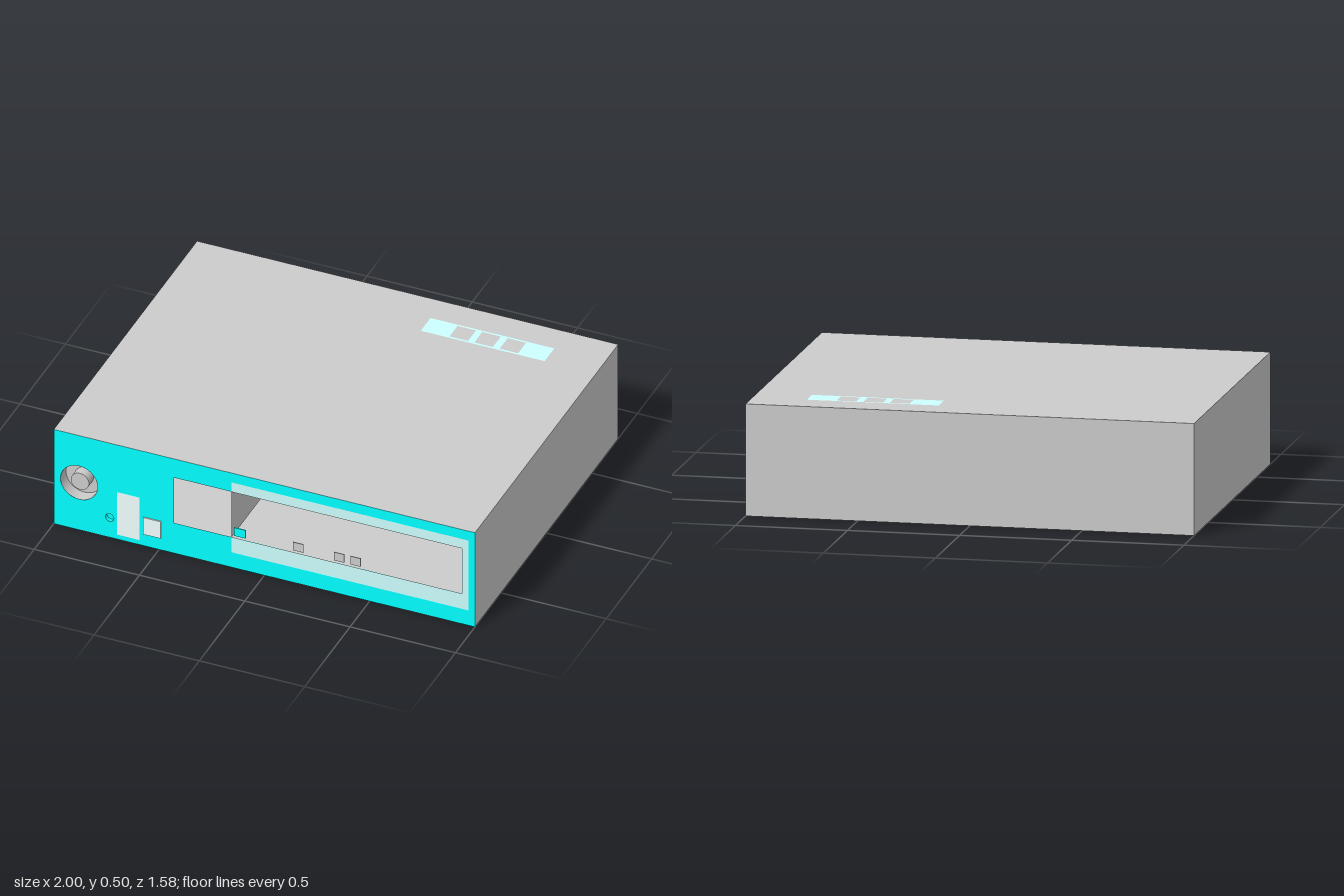
import * as THREE from 'three';

const FRONT = 0.785, BACK = -0.79, TOP = 0.499;
const GREY = 0xcccccc, CYAN = 0x00ffff, PALE = 0xcdffff, WHITE = 0xf2ffff;

function rectPath(path, [x0, x1, y0, y1]) {
  path.moveTo(x0, y0);
  path.lineTo(x1, y0);
  path.lineTo(x1, y1);
  path.lineTo(x0, y1);
  path.closePath();
  return path;
}

// Flat sheet with rectangular and round openings
function sheet(outline, rects = [], circles = []) {
  const shape = rectPath(new THREE.Shape(), outline);
  rects.forEach((r) => shape.holes.push(rectPath(new THREE.Path(), r)));
  circles.forEach((c) => shape.holes.push(new THREE.Path().absarc(c.x, c.y, c.r, 0, Math.PI * 2, true)));
  return new THREE.ShapeGeometry(shape, 32);
}

export function createModel() {
  const model = new THREE.Group();

  function add(name, geometry, color, x = 0, y = 0, z = 0) {
    const mesh = new THREE.Mesh(geometry, new THREE.MeshStandardMaterial({ color, side: THREE.DoubleSide }));
    mesh.name = name;
    mesh.position.set(x, y, z);
    model.add(mesh);
  }

  // Box given by its limits
  function block(name, [x0, x1, y0, y1], z0, z1, color) {
    add(name, new THREE.BoxGeometry(x1 - x0, y1 - y0, z1 - z0), color,
      (x0 + x1) / 2, (y0 + y1) / 2, (z0 + z1) / 2);
  }

  // Round well, open to the front
  function well(name, { x, y, r }, depth, color) {
    const wall = new THREE.CylinderGeometry(r, r, depth, 32, 1, true).rotateX(Math.PI / 2);
    add(name + 'Wall', wall, color, x, y, FRONT - depth / 2);
    add(name + 'Floor', new THREE.CircleGeometry(r, 32), color, x, y, FRONT - depth);
  }

  // Hollow housing: a box without its front face
  const shell = new THREE.BoxGeometry(2, TOP, FRONT - BACK);
  const index = Array.from(shell.index.array);
  index.splice(24, 6);
  shell.setIndex(index);
  shell.clearGroups();
  add('housing', shell, GREY, 0, TOP / 2, (FRONT + BACK) / 2);

  // Front panel with openings for the bay, knob and socket
  const bay = [-0.43, 0.94, 0.16, 0.4];
  const knob = { x: -0.88, y: 0.25, r: 0.088 };
  const socket = { x: -0.735, y: 0.105, r: 0.02 };
  add('frontPanel', sheet([-1, 1, 0, TOP], [bay], [knob, socket]), CYAN, 0, 0, FRONT);

  // Pale surround in three strips, open on the side of the bay's left part
  [[-0.155, 0.97, 0.08, 0.16], [-0.155, 0.97, 0.4, 0.45], [0.94, 0.97, 0.16, 0.4]]
    .forEach((strip) => add('baySurround', sheet(strip), PALE, 0, 0, FRONT + 0.001));

  // Thin upright divider inside the bay
  add('bayDivider', new THREE.PlaneGeometry(0.4, 0.24).rotateY(Math.PI / 2), GREY,
    -0.155, 0.28, FRONT - 0.197);

  // Row of buttons along the lower edge of the bay
  [[-0.145, -0.09, CYAN], [0.135, 0.185, GREY], [0.33, 0.378, GREY], [0.408, 0.456, GREY]]
    .forEach(([x0, x1, color]) => block('button', [x0, x1, 0.17, 0.213], FRONT - 0.004, FRONT, color));

  // Knob in a round well
  well('knobWell', knob, 0.06, GREY);
  add('knob', new THREE.CylinderGeometry(0.043, 0.043, 0.05, 32).rotateX(Math.PI / 2), GREY,
    knob.x, knob.y, FRONT - 0.035);

  // Small socket
  well('socket', socket, 0.02, CYAN);

  // Pale plates on the front
  add('tallPlate', sheet([-0.7, -0.592, 0.025, 0.25]), WHITE, 0, 0, FRONT + 0.001);
  block('smallPlate', [-0.575, -0.49, 0.063, 0.152], FRONT - 0.005, 0.79, WHITE);

  // Label on the lid with three square windows
  const windows = [0.345, 0.463, 0.583].map((x) => [x - 0.044, x + 0.044, 0.553, 0.641]);
  add('lidLabel', sheet([0.169, 0.757, 0.543, 0.65], windows).rotateX(-Math.PI / 2), PALE, 0, 0.5, 0);

  return model;
}
